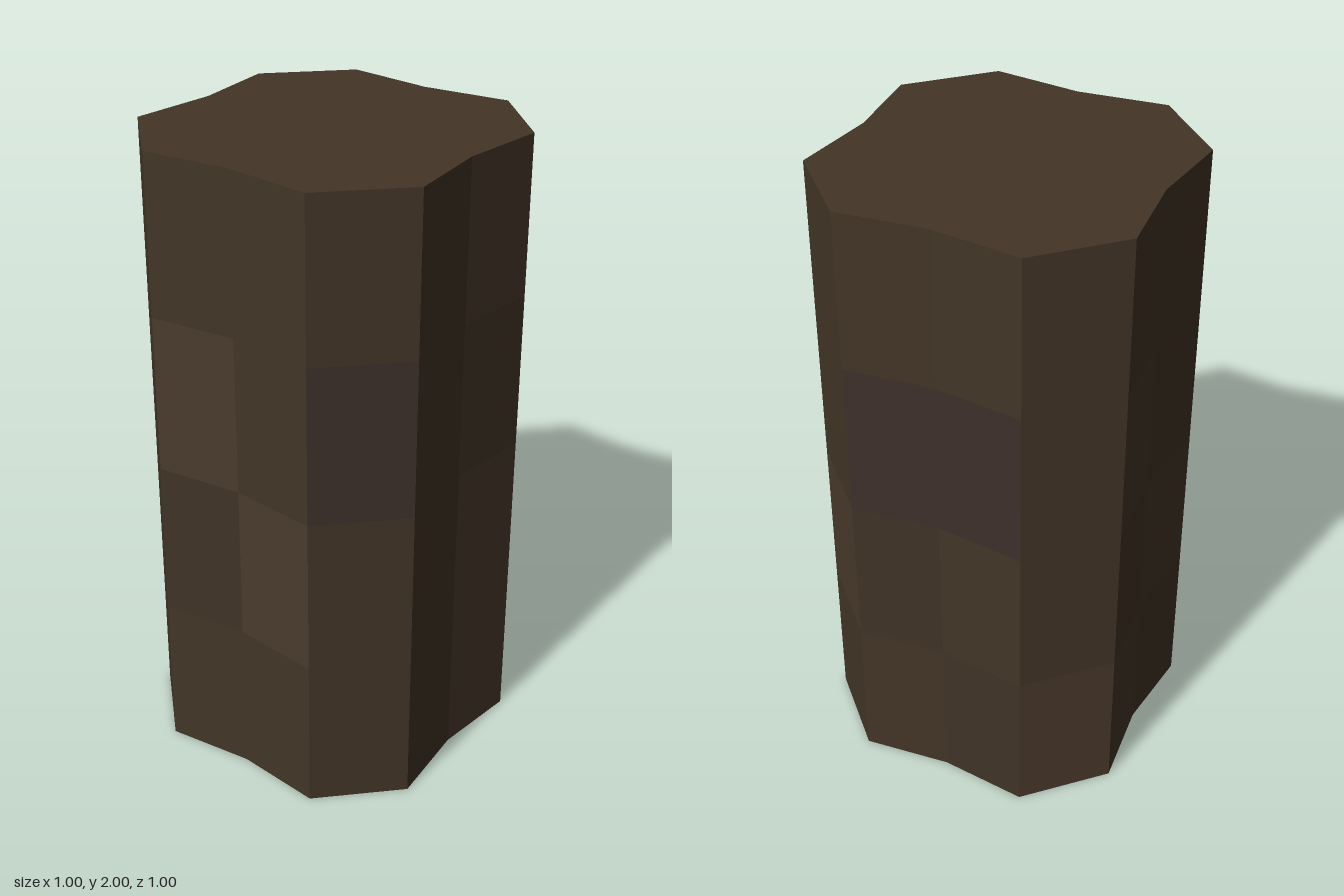
import * as THREE from 'three';
import { mergeGeometries } from 'three/addons/utils/BufferGeometryUtils.js';

const HEIGHT = 2, ROWS = 4;
const TONES = [0x3d302a, 0x3f3326, 0x433527, 0x4a3a2c];
// Tone of each bark panel, one string per side, bottom row to top row
const PANELS = ['1111', '2202', '2322', '2132', '2222', '1211',
  '2121', '3222', '1202', '2102', '2322', '2212'];

// Grooved outline: one quarter turned four times, as (x, z)
function trunkOutline() {
  const points = [];
  let quarter = [[0.47, 0], [0.5, 0.28], [0.28, 0.5]];
  for (let i = 0; i < 4; i++) {
    points.push(...quarter.map(([x, z]) => new THREE.Vector2(x, z)));
    quarter = quarter.map(([x, z]) => [-z, x]);
  }
  return points;
}

// One flat panel between outline points p and q
function panel(p, q, y0, y1) {
  const geometry = new THREE.BufferGeometry();
  geometry.setAttribute('position', new THREE.Float32BufferAttribute([
    p.x, y0, p.y, p.x, y1, p.y, q.x, y1, q.y, q.x, y0, q.y], 3));
  geometry.setIndex([0, 1, 2, 0, 2, 3]);
  geometry.computeVertexNormals();
  return geometry;
}

export function createModel() {
  const model = new THREE.Group();
  model.name = 'trunk';
  const outline = trunkOutline();
  const materials = TONES.map((color) => new THREE.MeshStandardMaterial({ color, flatShading: true }));

  // Bark panels, gathered by tone
  const byTone = TONES.map(() => []);
  outline.forEach((p, i) => {
    const q = outline[(i + 1) % outline.length];
    for (let row = 0; row < ROWS; row++) {
      const y = row * HEIGHT / ROWS;
      byTone[Number(PANELS[i][row])].push(panel(p, q, y, y + HEIGHT / ROWS));
    }
  });
  byTone.forEach((panels, tone) => {
    const bark = new THREE.Mesh(mergeGeometries(panels), materials[tone]);
    bark.name = `barkTone${tone + 1}`;
    model.add(bark);
  });

  // Flat end caps
  for (const [name, y, turn] of [['topCap', HEIGHT, -1], ['bottomCap', 0, 1]]) {
    const geometry = new THREE.ShapeGeometry(new THREE.Shape(outline));
    geometry.rotateX(turn * Math.PI / 2);
    const cap = new THREE.Mesh(geometry, materials[2]);
    cap.name = name;
    cap.position.y = y;
    model.add(cap);
  }
  return model;
}
